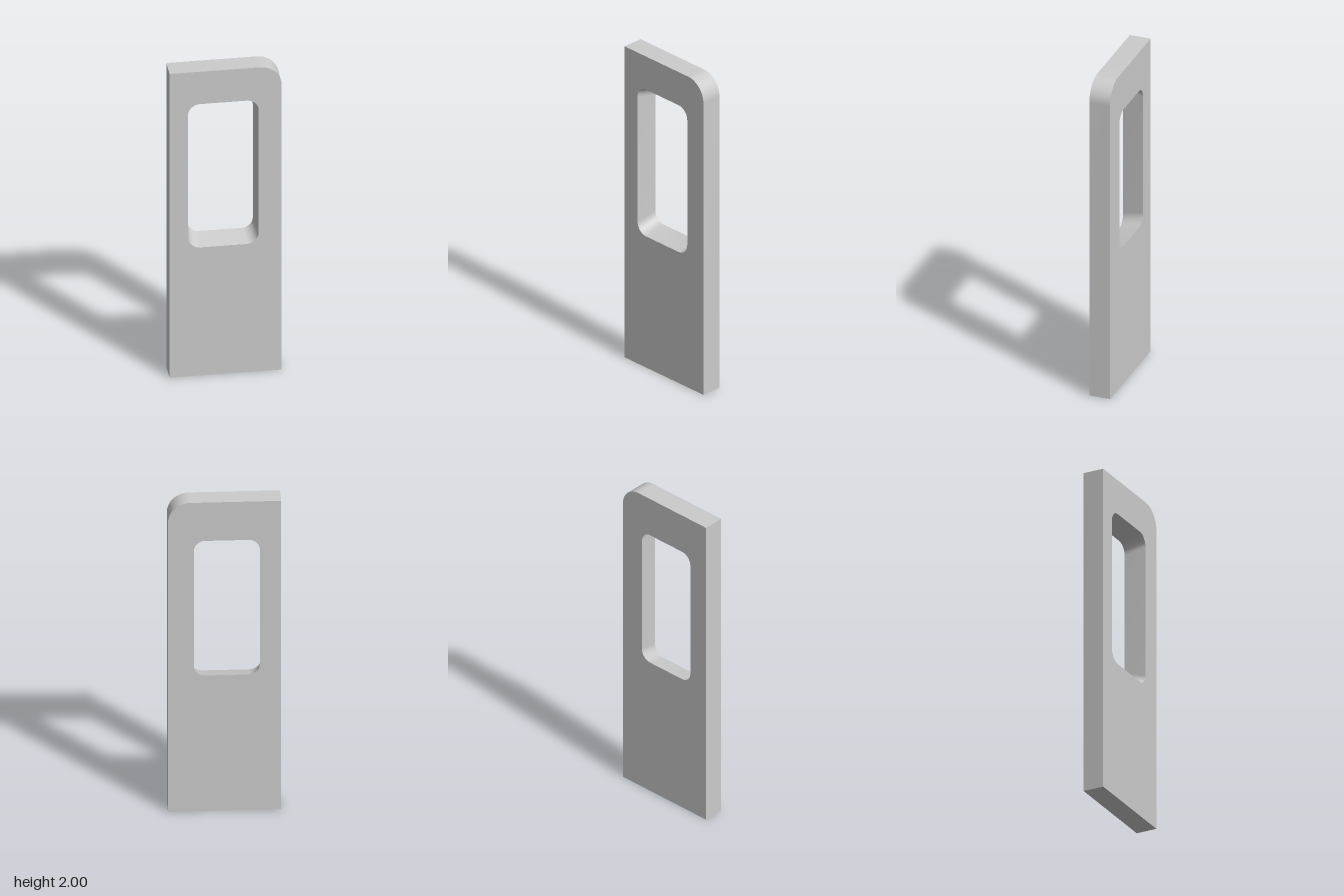
import * as THREE from 'three';
import { toCreasedNormals } from 'three/addons/utils/BufferGeometryUtils.js';

const HALF_WIDTH = 0.323, HEIGHT = 2, DEPTH = 0.127, CORNER = 0.125;
const HOLE = { x: -0.013, y: 1.315, w: 0.407, h: 0.944, r: 0.07 };
const TAPER = 0.925; // size of the opening at the back relative to the front

// Rectangle centred on (x, y) with four rounded corners
function roundedRect({ x, y, w, h, r }) {
  const l = x - w / 2, b = y - h / 2, t = b + h, e = l + w;
  const path = new THREE.Path();
  path.moveTo(l + r, b);
  path.absarc(e - r, b + r, r, -Math.PI / 2, 0);
  path.absarc(e - r, t - r, r, 0, Math.PI / 2);
  path.absarc(l + r, t - r, r, Math.PI / 2, Math.PI);
  path.absarc(l + r, b + r, r, Math.PI, Math.PI * 1.5);
  path.closePath();
  return path;
}

export function createModel() {
  const group = new THREE.Group();
  group.name = 'windowedPanel';

  // Slab outline with a single rounded top corner
  const outline = new THREE.Shape();
  outline.moveTo(-HALF_WIDTH, 0);
  outline.lineTo(HALF_WIDTH, 0);
  outline.lineTo(HALF_WIDTH, HEIGHT - CORNER);
  outline.absarc(HALF_WIDTH - CORNER, HEIGHT - CORNER, CORNER, 0, Math.PI / 2);
  outline.lineTo(-HALF_WIDTH, HEIGHT);
  outline.closePath();
  outline.holes.push(roundedRect(HOLE));

  const geometry = new THREE.ExtrudeGeometry(outline, {
    depth: DEPTH, bevelEnabled: false, curveSegments: 16,
  });
  geometry.translate(0, 0, -DEPTH / 2);

  // Narrow the window opening towards the back
  const pos = geometry.attributes.position;
  for (let i = 0; i < pos.count; i++) {
    const dx = pos.getX(i) - HOLE.x, dy = pos.getY(i) - HOLE.y;
    const inOpening = Math.abs(dx) < HOLE.w / 2 + 0.01 && Math.abs(dy) < HOLE.h / 2 + 0.01;
    if (inOpening && pos.getZ(i) < 0) {
      pos.setXY(i, HOLE.x + dx * TAPER, HOLE.y + dy * TAPER);
    }
  }

  const panel = new THREE.Mesh(
    toCreasedNormals(geometry, 0.5),
    new THREE.MeshStandardMaterial({ color: 0xcccccc }),
  );
  panel.name = 'panel';
  group.add(panel);
  return group;
}
